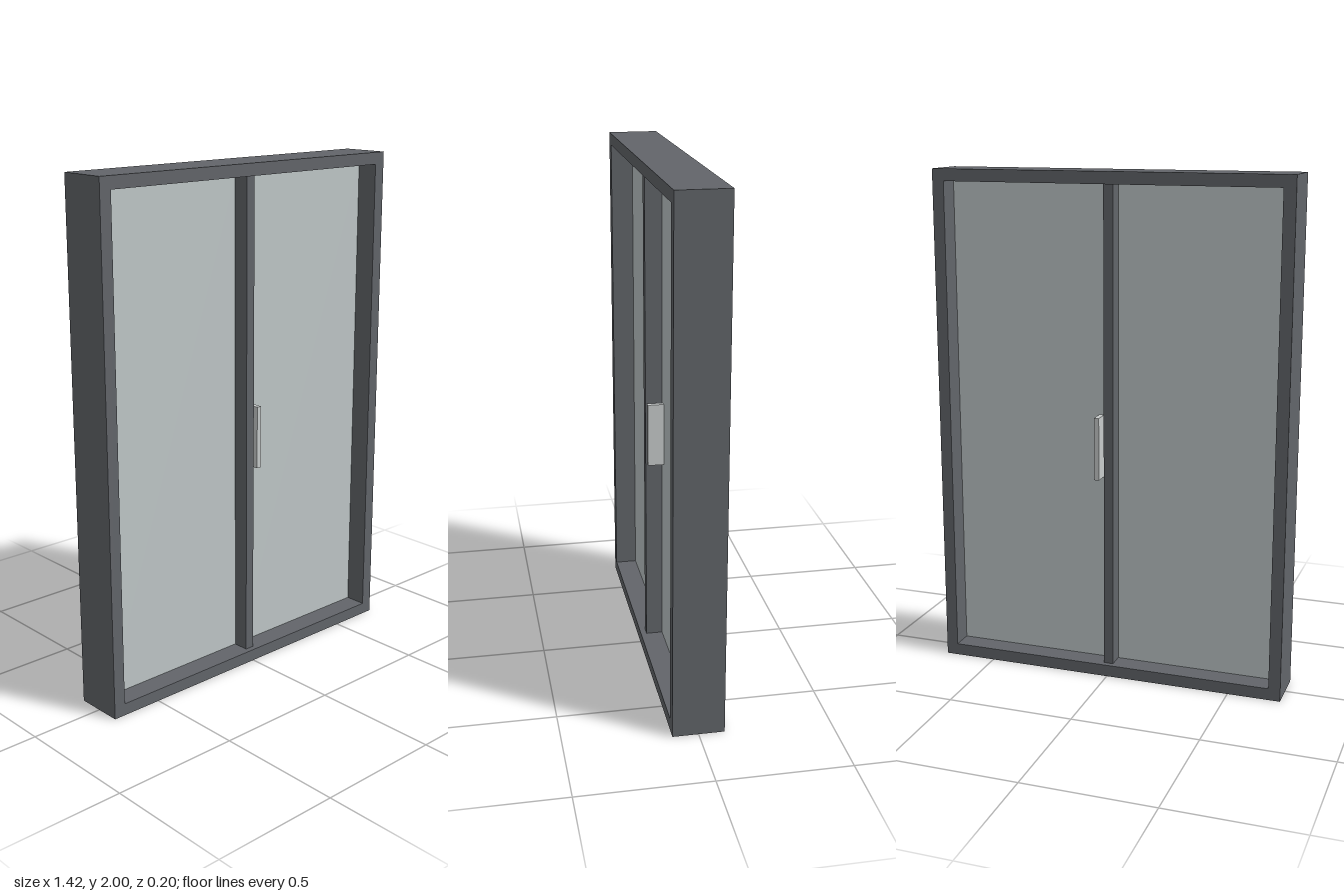
import * as THREE from 'three';

const W = 0.709, H = 2, DEPTH = 0.196, RIM = 0.047;

export function createModel() {
  const frameMat = new THREE.MeshStandardMaterial({ name: 'dark grey frame', color: 0x62656a });
  const glassMat = new THREE.MeshStandardMaterial({ name: 'pale glass', color: 0xbfc7c8 });
  const handleMat = new THREE.MeshStandardMaterial({ name: 'light metal', color: 0xc8cccc });

  const model = new THREE.Group();
  model.name = 'doubleDoor';

  const add = (name, geometry, material, x = 0, y = 0, z = 0) => {
    const mesh = new THREE.Mesh(geometry, material);
    mesh.name = name;
    mesh.position.set(x, y, z);
    model.add(mesh);
  };
  const rectangle = (Path, x, y0, y1) => new Path([
    new THREE.Vector2(-x, y0), new THREE.Vector2(x, y0),
    new THREE.Vector2(x, y1), new THREE.Vector2(-x, y1),
  ]);

  // Outer frame, one piece with a rectangular opening
  const outline = rectangle(THREE.Shape, W, 0, H);
  outline.holes.push(rectangle(THREE.Path, W - RIM, RIM, H - RIM));
  const frame = new THREE.ExtrudeGeometry(outline, { depth: DEPTH, bevelEnabled: false });
  add('outerFrame', frame, frameMat, 0, 0, -DEPTH / 2);

  // Centre post, set back a little from the frame on both sides
  const postWidth = 0.038, innerHeight = H - 2 * RIM;
  add('centrePost', new THREE.BoxGeometry(postWidth, innerHeight, 0.15), frameMat, 0, H / 2, 0);

  // Glass panes either side of the post
  const paneWidth = W - RIM - postWidth / 2;
  for (const [name, side] of [['leftPane', 1], ['rightPane', -1]]) {
    add(name, new THREE.BoxGeometry(paneWidth, innerHeight, 0.02), glassMat,
      side * (postWidth / 2 + paneWidth / 2), H / 2, 0);
  }

  // Slab handle passing through the left pane
  add('handle', new THREE.BoxGeometry(0.02, 0.25, 0.146), handleMat, 0.05, 0.935, 0);

  return model;
}
